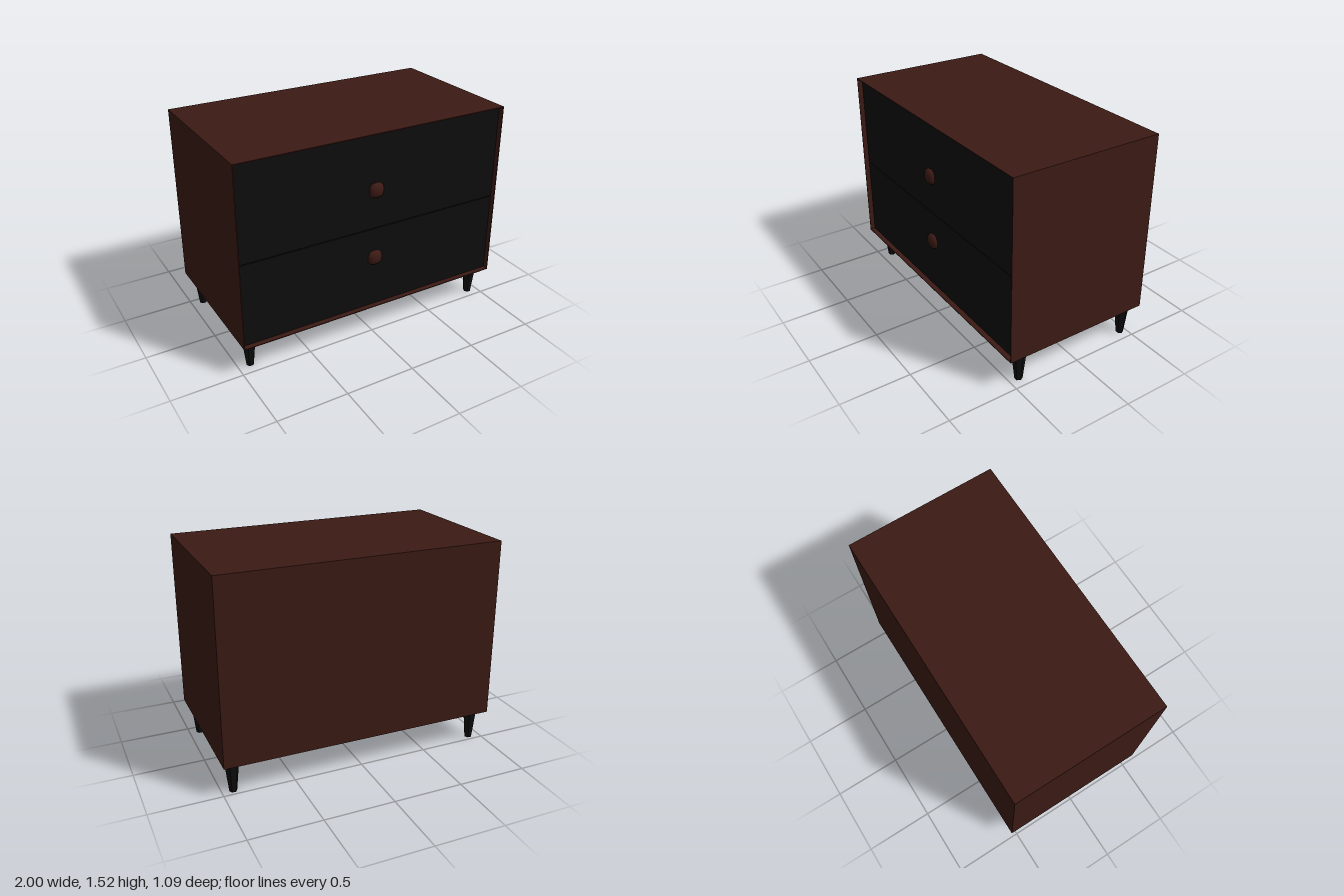
import * as THREE from 'three';

const wood = new THREE.MeshStandardMaterial({ color: 0x3b1a14 });
const black = new THREE.MeshStandardMaterial({ color: 0x0d0d0d });
const blackFlat = new THREE.MeshStandardMaterial({ color: 0x0d0d0d, flatShading: true });

const LEG = 0.23, TOP = 1.52, DEPTH = 0.547, WALL = 0.006, FRONT = 0.51, SPLIT = 0.832;

export function createModel() {
  const model = new THREE.Group();
  model.name = 'nightstand';

  const add = (name, geometry, material, x, y, z) => {
    const mesh = new THREE.Mesh(geometry, material);
    mesh.name = name;
    mesh.position.set(x, y, z);
    model.add(mesh);
    return mesh;
  };
  // Box given by its limits on each axis
  const slab = (name, material, [x0, x1], [y0, y1], [z0, z1]) =>
    add(name, new THREE.BoxGeometry(x1 - x0, y1 - y0, z1 - z0), material,
      (x0 + x1) / 2, (y0 + y1) / 2, (z0 + z1) / 2);

  // Thin-walled carcass, open at the front
  const inner = [-1 + WALL, 1 - WALL];
  slab('topPanel', wood, [-1, 1], [TOP - WALL, TOP], [-DEPTH, DEPTH]);
  slab('bottomPanel', wood, [-1, 1], [LEG, LEG + WALL], [-DEPTH, DEPTH]);
  slab('leftSide', wood, [1 - WALL, 1], [LEG + WALL, TOP - WALL], [-DEPTH, DEPTH]);
  slab('rightSide', wood, [-1, -1 + WALL], [LEG + WALL, TOP - WALL], [-DEPTH, DEPTH]);
  slab('backPanel', wood, inner, [LEG + WALL, TOP - WALL], [-DEPTH, -DEPTH + WALL]);
  slab('drawerRail', wood, inner, [SPLIT - 0.02, SPLIT + 0.02], [FRONT - 0.04, FRONT - 0.015]);

  // Recessed drawer fronts with a narrow gap between them
  slab('lowerDrawerFront', black, inner, [LEG + WALL, SPLIT - 0.003], [FRONT - 0.015, FRONT]);
  slab('upperDrawerFront', black, inner, [SPLIT + 0.003, TOP - WALL], [FRONT - 0.015, FRONT]);

  // Knobs: flattened spheres with a softly squared outline
  const knob = new THREE.SphereGeometry(1, 24, 16);
  const p = knob.attributes.position;
  for (let i = 0; i < p.count; i++) {
    const x = p.getX(i), y = p.getY(i), r = Math.hypot(x, y) || 1;
    const k = 1 / Math.pow(Math.abs(x / r) ** 2.7 + Math.abs(y / r) ** 2.7, 1 / 2.7);
    p.setXYZ(i, x * k * 0.054, y * k * 0.053, p.getZ(i) * 0.035);
  }
  knob.computeVertexNormals();
  add('lowerKnob', knob, wood, 0, 0.61, FRONT + 0.002);
  add('upperKnob', knob, wood, 0, 1.113, FRONT + 0.002);

  // Tapered six-sided legs
  const leg = new THREE.CylinderGeometry(0.052, 0.027, LEG, 6);
  leg.rotateY(Math.PI / 2);
  const legs = {
    frontLeftLeg: [0.922, 0.428], frontRightLeg: [-0.912, 0.413],
    backLeftLeg: [0.922, -0.453], backRightLeg: [-0.912, -0.453],
  };
  for (const [name, [x, z]] of Object.entries(legs)) add(name, leg, blackFlat, x, LEG / 2, z);

  return model;
}
